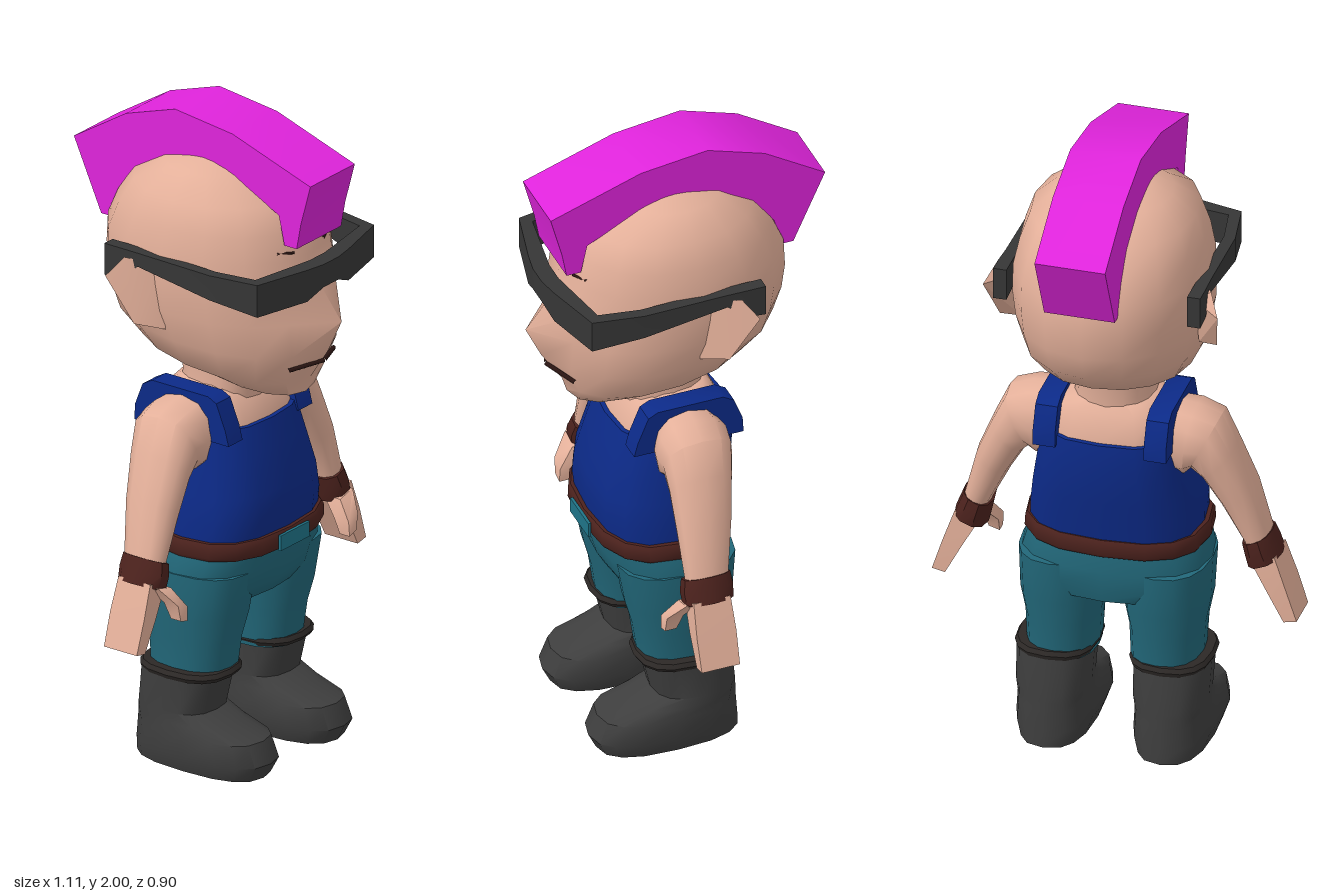
import * as THREE from 'three';
import { toCreasedNormals } from 'three/addons/utils/BufferGeometryUtils.js';
import { ConvexGeometry } from 'three/addons/geometries/ConvexGeometry.js';

const paint = (name, color) => Object.assign(new THREE.MeshStandardMaterial({ color }), { name });
const V = (x, y, z) => new THREE.Vector3(x, y, z);

// Skin a list of rings (arrays of Vector3) and close both ends.
function loft(rings, crease = 0.8) {
  const n = rings[0].length, points = rings.flat(), index = [];
  const centre = ring => ring.reduce((sum, p) => sum.add(p), V(0, 0, 0)).divideScalar(n);
  const first = points.push(centre(rings[0])) - 1;
  const last = points.push(centre(rings[rings.length - 1])) - 1;
  const top = (rings.length - 1) * n;
  for (let j = 0; j < n; j++) {
    const k = (j + 1) % n;
    for (let i = 0; i < rings.length - 1; i++) {
      const a = i * n + j, b = i * n + k;
      index.push(a, a + n, b, b, a + n, b + n);
    }
    index.push(first, j, k, last, top + k, top + j);
  }
  const geometry = new THREE.BufferGeometry().setFromPoints(points);
  geometry.setIndex(index);
  return toCreasedNormals(geometry, crease);
}

// Superellipse coordinates; four sides give a rectangle.
function around(n, p) {
  const pow = v => Math.sign(v) * Math.abs(v) ** (2 / p);
  return Array.from({ length: n }, (_, i) => {
    if (n === 4) return [[1, 1], [-1, 1], [-1, -1], [1, -1]][i];
    const a = i / n * Math.PI * 2;
    return [pow(Math.cos(a)), pow(Math.sin(a))];
  });
}

// Upright stack of rings, rows from bottom to top:
// [y, half width, front z, back z, back y, bulge of the front point]
function stack(rows, cx = 0, p = 2.4, n = 16, crease = 0.8) {
  return loft(rows.map(([y, w, zf, zb, yb = y, bulge = 0]) => around(n, p).map(([c, s], i) =>
    V(cx + w * c, (y + yb) / 2 + (y - yb) / 2 * s,
      (zf + zb) / 2 + (zf - zb) / 2 * s + (i === n / 4 ? bulge : 0)))), crease);
}

// Limb on side s, rows from tip to root: [outer x, outer y, inner x, inner y, z, half depth]
function limb(rows, s, n = 12, p = 2.4) {
  return loft(rows.map(([ox, oy, ix, iy, z, d]) => {
    const ring = around(n, p).map(([c, q]) => V(
      s * ((ox + ix) / 2 + (ox - ix) / 2 * c), (oy + iy) / 2 + (oy - iy) / 2 * c, z + d * q));
    return s < 0 ? ring.reverse() : ring;
  }));
}

// Side outline [z, y] extruded across x0..x1
function sideSlab(outline, x0, x1) {
  const shape = new THREE.Shape(outline.map(([z, y]) => new THREE.Vector2(z, y)));
  const geometry = new THREE.ExtrudeGeometry(shape, { depth: x1 - x0, bevelEnabled: false });
  return toCreasedNormals(geometry.rotateY(-Math.PI / 2).translate(x1, 0, 0), 0.6);
}

const stroke = (a, b, r) => new THREE.TubeGeometry(new THREE.LineCurve3(a, b), 1, r, 6);

export function createModel() {
  const model = new THREE.Group();
  model.name = 'figure';
  const skin = paint('skin', 0xe4b09a), hair = paint('magenta hair', 0xe024dc);
  const blue = paint('blue shirt', 0x0c2a88), teal = paint('teal trousers', 0x22687a);
  const black = paint('charcoal boots', 0x3e3e3e), shade = paint('dark glasses', 0x363636);
  const leather = paint('brown leather', 0x4c221d), cuff = paint('dark cuff', 0x2c2826);
  const buckle = paint('buckle', 0x1f7488), ink = paint('dark lines', 0x2a1512);
  const add = (name, geometry, material) => {
    const mesh = new THREE.Mesh(geometry, material);
    mesh.name = name;
    model.add(mesh);
  };

  // Head with pointed nose, and neck
  add('head', stack([
    [1.17, 0.06, 0.26, 0.02, 1.23],
    [1.172, 0.15, 0.32, -0.12, 1.26],
    [1.22, 0.22, 0.335, -0.24, 1.30],
    [1.32, 0.262, 0.375, -0.31, 1.37, 0.025],
    [1.425, 0.283, 0.37, -0.335, 1.45, 0.08],
    [1.52, 0.29, 0.36, -0.345, 1.53, 0.015],
    [1.62, 0.288, 0.345, -0.34],
    [1.70, 0.272, 0.325, -0.305],
    [1.78, 0.245, 0.285, -0.25],
    [1.845, 0.175, 0.17, -0.15],
    [1.875, 0.1, 0.1, -0.05],
  ], 0, 2.15, 16, 1.2), skin);
  add('neck', stack([[1.1, 0.13, 0.15, -0.1], [1.18, 0.118, 0.16, -0.095], [1.3, 0.13, 0.19, -0.12]]), skin);

  // Mohawk
  add('mohawk', sideSlab([
    [0.415, 1.88], [0.13, 1.975], [-0.08, 2.0], [-0.26, 1.94], [-0.45, 1.82], [-0.35, 1.6],
    [-0.31, 1.6], [-0.29, 1.69], [-0.21, 1.77], [-0.14, 1.83], [0.04, 1.86], [0.2, 1.81],
    [0.3, 1.76], [0.32, 1.67], [0.365, 1.67], [0.38, 1.75],
  ], -0.105, 0.11), hair);

  // Wraparound glasses: [x, z, inner x, inner z, bottom y, top y], mirrored
  const half = [
    [0.315, -0.18, 0.275, -0.18, 1.52, 1.62], [0.315, -0.125, 0.275, -0.125, 1.525, 1.62],
    [0.312, -0.06, 0.275, -0.06, 1.575, 1.618], [0.31, 0.2, 0.275, 0.2, 1.535, 1.613],
    [0.283, 0.355, 0.252, 0.325, 1.51, 1.612], [0.1, 0.4, 0.095, 0.35, 1.51, 1.61],
    [0.035, 0.412, 0.035, 0.36, 1.538, 1.61],
  ];
  const path = [...half.map(([x, z, ix, ...rest]) => [-x, z, -ix, ...rest]), ...half.reverse()];
  add('glasses', loft(path.map(([x, z, ix, iz, b, t]) =>
    [V(x, b, z), V(x, t, z), V(ix, t, iz), V(ix, b, iz)]), 0.3), shade);

  // Chest, tank top, belt and hips
  add('chest', stack([
    [1.0, 0.19, 0.19, -0.14], [1.065, 0.19, 0.185, -0.145],
    [1.14, 0.17, 0.14, -0.11], [1.165, 0.12, 0.11, -0.09]], 0, 3), skin);
  add('tankTop', stack([
    [0.69, 0.258, 0.25, -0.13], [0.78, 0.256, 0.262, -0.142], [0.86, 0.245, 0.257, -0.155],
    [0.98, 0.222, 0.225, -0.168], [1.06, 0.208, 0.2, -0.16]], 0, 2.8), blue);
  add('belt', stack([
    [0.675, 0.272, 0.268, -0.142], [0.685, 0.278, 0.275, -0.148],
    [0.72, 0.276, 0.274, -0.146], [0.73, 0.27, 0.267, -0.14]], 0, 2.6), leather);
  add('beltBuckle', new THREE.BoxGeometry(0.14, 0.048, 0.009).translate(0, 0.701, 0.276), buckle);
  add('hips', stack([
    [0.475, 0.05, 0.12, -0.05], [0.515, 0.2, 0.2, -0.125], [0.56, 0.28, 0.225, -0.135],
    [0.62, 0.285, 0.242, -0.14], [0.69, 0.265, 0.255, -0.132]], 0, 2.6), teal);

  for (const s of [1, -1]) {
    const side = s > 0 ? 'left' : 'right';

    // Ear and face lines
    add(side + 'Ear', toCreasedNormals(new ConvexGeometry([
      V(s * 0.27, 1.58, 0), V(s * 0.27, 1.38, 0.01), V(s * 0.325, 1.6, -0.1),
      V(s * 0.357, 1.54, -0.145), V(s * 0.33, 1.4, -0.06), V(s * 0.27, 1.56, -0.09),
      V(s * 0.27, 1.39, -0.04)]), 0.3), skin);
    add(side + 'Mouth', stroke(V(0, 1.287, 0.385), V(s * 0.11, 1.278, 0.338), 0.007), ink);
    add(side + 'Brow', stroke(V(s * 0.07, 1.637, 0.329), V(s * 0.125, 1.646, 0.307), 0.004), ink);

    // Shoulder strap
    add(side + 'Strap', sideSlab([
      [0.19, 1.03], [0.178, 1.075], [0.145, 1.155], [0.115, 1.17], [-0.09, 1.17],
      [-0.125, 1.15], [-0.152, 1.08], [-0.155, 1.03]],
      s > 0 ? 0.135 : -0.203, s > 0 ? 0.203 : -0.135), blue);

    // Arm, wristband and hand
    add(side + 'Arm', limb([
      [0.48, 0.67, 0.4, 0.64, 0.055, 0.062],
      [0.464, 0.73, 0.385, 0.71, 0.053, 0.068],
      [0.422, 0.89, 0.325, 0.83, 0.04, 0.085],
      [0.368, 1.02, 0.272, 0.92, 0.028, 0.098],
      [0.322, 1.12, 0.24, 0.95, 0.022, 0.108],
      [0.25, 1.147, 0.225, 0.93, 0.02, 0.115],
      [0.17, 1.155, 0.18, 0.92, 0.02, 0.1]], s), skin);
    add(side + 'Wristband', limb([
      [0.497, 0.662, 0.398, 0.622, 0.057, 0.076],
      [0.482, 0.7, 0.388, 0.665, 0.057, 0.08],
      [0.467, 0.737, 0.38, 0.7, 0.055, 0.074]], s, 10), leather);
    add(side + 'Hand', limb([
      [0.555, 0.468, 0.515, 0.46, 0.06, 0.06],
      [0.522, 0.57, 0.465, 0.555, 0.06, 0.062],
      [0.487, 0.67, 0.415, 0.645, 0.06, 0.058]], s, 4), skin);
    add(side + 'Thumb', limb([
      [0.425, 0.55, 0.392, 0.54, 0.165, 0.018],
      [0.435, 0.6, 0.39, 0.585, 0.155, 0.026],
      [0.47, 0.655, 0.41, 0.64, 0.105, 0.03]], s, 4), skin);

    // Trouser leg, boot and boot cuff
    add(side + 'TrouserLeg', stack([
      [0.28, 0.105, 0.16, -0.1], [0.4, 0.11, 0.178, -0.108],
      [0.48, 0.125, 0.2, -0.125], [0.62, 0.13, 0.225, -0.135]], s * 0.158, 2.4), teal);
    add(side + 'Boot', stack([
      [0, 0.105, 0.3, -0.138], [0.05, 0.122, 0.325, -0.135], [0.115, 0.117, 0.298, -0.13],
      [0.145, 0.112, 0.2, -0.127], [0.175, 0.11, 0.13, -0.124],
      [0.295, 0.114, 0.158, -0.112]], s * 0.178, 2.6), black);
    add(side + 'BootCuff', stack([
      [0.284, 0.118, 0.172, -0.114], [0.297, 0.124, 0.18, -0.118],
      [0.31, 0.116, 0.172, -0.11]], s * 0.174, 2.6), cuff);
  }
  return model;
}
